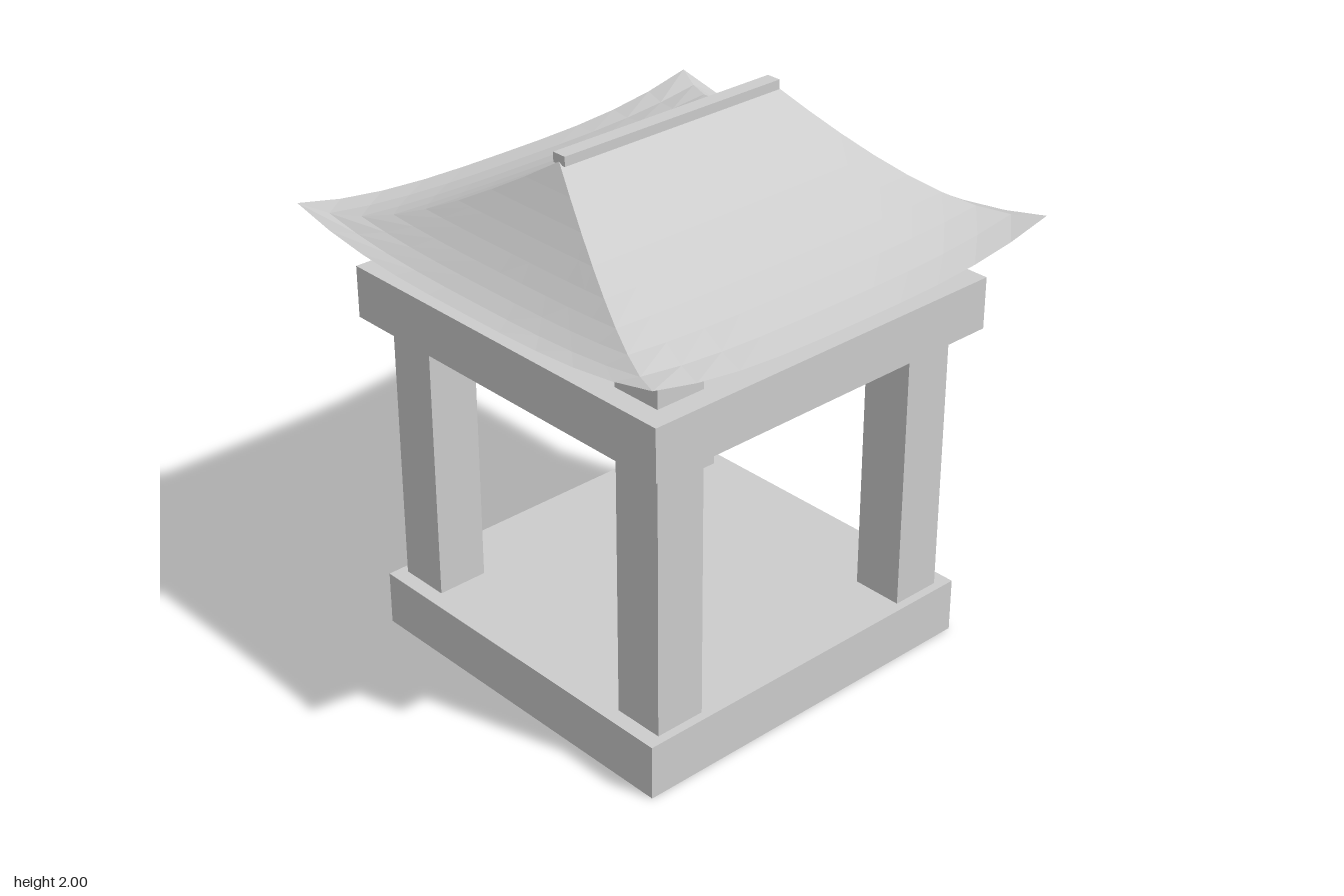
import * as THREE from 'three';

const EAVE = 0.88, EAVE_Y = 1.58, RIDGE_Y = 1.975, RIDGE_HALF = 0.475;

// One curved roof slope, falling towards +z; halfWidth(s) gives its width from ridge (0) to eave (1)
function roofSlope(halfWidth, start, cols = 10, rows = 8) {
  const g = new THREE.PlaneGeometry(2, 1, cols, rows);
  const p = g.attributes.position;
  for (let i = 0; i < p.count; i++) {
    const u = p.getX(i), s = 0.5 - p.getY(i);
    const sag = (RIDGE_Y - EAVE_Y) * Math.pow(1 - s, 1.5);
    const lift = 0.08 * Math.pow(Math.abs(u), 3) * Math.pow(s, 4);
    p.setXYZ(i, u * halfWidth(s), EAVE_Y + sag + lift, start + (EAVE - start) * s);
  }
  g.computeVertexNormals();
  return g;
}

export function createModel() {
  const group = new THREE.Group();
  const stone = new THREE.MeshStandardMaterial({ color: 0xcccccc });
  stone.name = 'grey stone';
  stone.flatShading = true;
  stone.side = THREE.DoubleSide;

  const add = (name, geometry) => {
    const mesh = new THREE.Mesh(geometry, stone);
    mesh.name = name;
    group.add(mesh);
    return mesh;
  };
  const block = (name, w, d, y0, y1, x = 0, z = 0) =>
    add(name, new THREE.BoxGeometry(w, y1 - y0, d)).position.set(x, (y0 + y1) / 2, z);

  // Floor and upper slab
  block('base', 1.455, 1.405, 0, 0.205);
  block('upperSlab', 1.5, 1.5, 1.237, 1.43);

  // Four pillars, passing through the slab
  for (const x of [-1, 1]) for (const z of [-1, 1])
    block('pillar', 0.195, 0.195, 0.2, 1.545, x * 0.572, z * 0.572);

  // Roof: two long slopes, two triangular ends
  const long = roofSlope(s => RIDGE_HALF + (EAVE - RIDGE_HALF) * s, 0);
  const end = roofSlope(s => EAVE * s, RIDGE_HALF);
  for (let i = 0; i < 4; i++)
    add(i % 2 ? 'roofEnd' : 'roofSlope', i % 2 ? end : long).rotation.y = i * Math.PI / 2;

  // Ridge beam
  block('ridge', 0.95, 0.056, 1.965, 2);
  return group;
}
